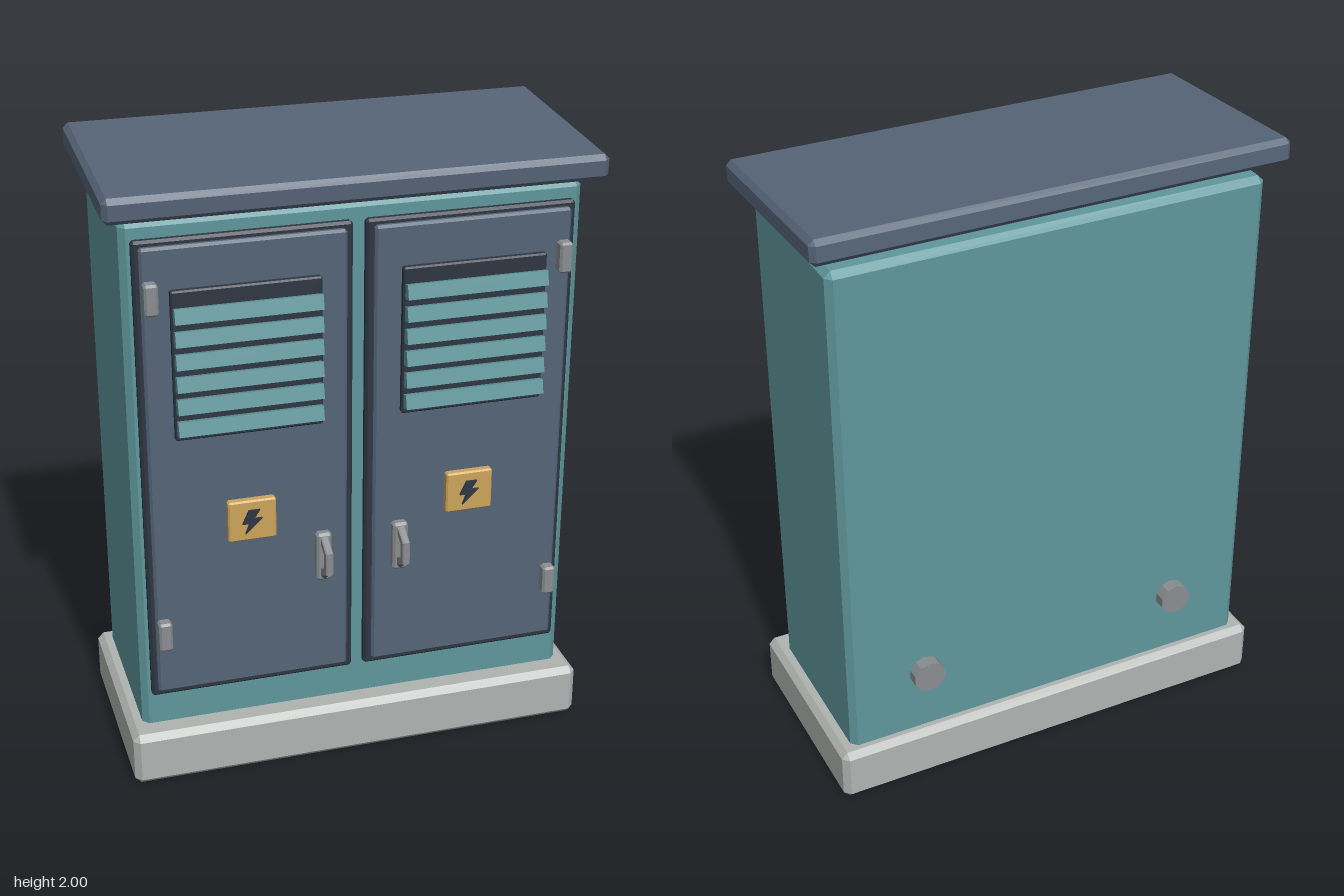
import * as THREE from 'three';
import { ConvexGeometry } from 'three/addons/geometries/ConvexGeometry.js';

const material = (color) => new THREE.MeshStandardMaterial({ color, flatShading: true });
const teal = material(0x5f979c);
const slate = material(0x556477);
const dark = material(0x2e3642);
const concrete = material(0xb0b4b1);
const metal = material(0x8a8d90);
const yellow = material(0xcba45a);

// Box with every edge chamfered by c
function chamferBox(w, h, d, c) {
  const [x, y, z] = [w / 2, h / 2, d / 2];
  const points = [];
  for (const i of [-1, 1]) for (const j of [-1, 1]) for (const k of [-1, 1]) {
    points.push(
      new THREE.Vector3(i * x, j * (y - c), k * (z - c)),
      new THREE.Vector3(i * (x - c), j * y, k * (z - c)),
      new THREE.Vector3(i * (x - c), j * (y - c), k * z));
  }
  return new ConvexGeometry(points);
}

function add(parent, name, geometry, mat, x, y, z) {
  const mesh = new THREE.Mesh(geometry, mat);
  mesh.name = name;
  mesh.position.set(x, y, z);
  parent.add(mesh);
  return mesh;
}

const polygon = (pts) => new THREE.Shape(pts.map(([x, y]) => new THREE.Vector2(x, y)));

// Trapezoid pull grip: profile in (z, y), extruded across x
function gripGeometry() {
  const outline = polygon([
    [0, 0.068], [0.058, 0.036], [0.058, -0.036], [0, -0.068],
    [0, -0.044], [0.038, -0.024], [0.038, 0.024], [0, 0.044]]);
  const geometry = new THREE.ExtrudeGeometry(outline, {
    depth: 0.016, bevelEnabled: true, bevelSegments: 1, bevelSize: 0.003, bevelThickness: 0.004,
  });
  geometry.translate(0, 0, -0.008);
  geometry.rotateY(-Math.PI / 2);
  return geometry;
}

function boltGeometry() {
  const outline = polygon([
    [-0.012, 0.038], [-0.033, -0.007], [-0.011, -0.007], [-0.024, -0.042],
    [0.03, 0.009], [0.004, 0.009], [0.023, 0.038]]);
  return new THREE.ExtrudeGeometry(outline, { depth: 0.008, bevelEnabled: false });
}

// One door with its fittings; side is -1 or 1
function createDoor(side) {
  const door = new THREE.Group();
  door.name = side > 0 ? 'leftDoor' : 'rightDoor';
  const cx = side * 0.352;

  add(door, 'doorFrame', chamferBox(0.66, 1.525, 0.03, 0.008), dark, side * 0.35, 1.057, 0.252);
  add(door, 'doorPanel', chamferBox(0.62, 1.485, 0.045, 0.008), slate, cx, 1.06, 0.263);

  // Louvred vent
  add(door, 'ventBacking', chamferBox(0.455, 0.475, 0.03, 0.005), dark, cx, 1.435, 0.29);
  const slat = new THREE.BoxGeometry(0.445, 0.046, 0.034);
  for (let i = 0; i < 6; i++) {
    add(door, 'ventSlat', slat, teal, cx, 1.243 + i * 0.0715, 0.318).rotation.x = -0.25;
  }

  // Warning sign
  add(door, 'warningSign', chamferBox(0.152, 0.136, 0.03, 0.005), yellow, cx, 0.902, 0.295);
  add(door, 'warningBolt', boltGeometry(), dark, cx, 0.902, 0.31);

  // Handle and lock
  const hx = side * 0.125;
  add(door, 'handlePlate', chamferBox(0.05, 0.165, 0.035, 0.008), metal, hx, 0.741, 0.3);
  add(door, 'handleGrip', gripGeometry(), metal, hx, 0.745, 0.314);
  const lock = new THREE.CylinderGeometry(0.012, 0.012, 0.012, 10).rotateX(Math.PI / 2);
  add(door, 'lock', lock, dark, hx, 0.682, 0.317);

  // Hinges
  for (const y of [0.535, 1.655]) {
    add(door, 'hinge', chamferBox(0.042, 0.098, 0.042, 0.007), metal, side * 0.637, y, 0.3);
  }
  return door;
}

export function createModel() {
  const model = new THREE.Group();
  model.name = 'electricalCabinet';

  add(model, 'plinth', chamferBox(1.51, 0.18, 0.69, 0.02), concrete, 0, 0.09, -0.025);
  add(model, 'cabinetBody', chamferBox(1.42, 1.72, 0.575, 0.02), teal, 0, 1.013, -0.045);

  // Roof slopes down toward the front
  const roof = add(model, 'roof', chamferBox(1.53, 0.08, 0.69, 0.016), slate, 0, 1.944, -0.03);
  roof.rotation.x = 0.052;

  for (const side of [-1, 1]) {
    model.add(createDoor(side));
    // Cable glands on the back
    const gland = new THREE.CylinderGeometry(0.054, 0.054, 0.06, 10).rotateX(Math.PI / 2);
    add(model, 'cableGland', gland, metal, side * 0.45, 0.4, -0.342);
  }
  return model;
}
